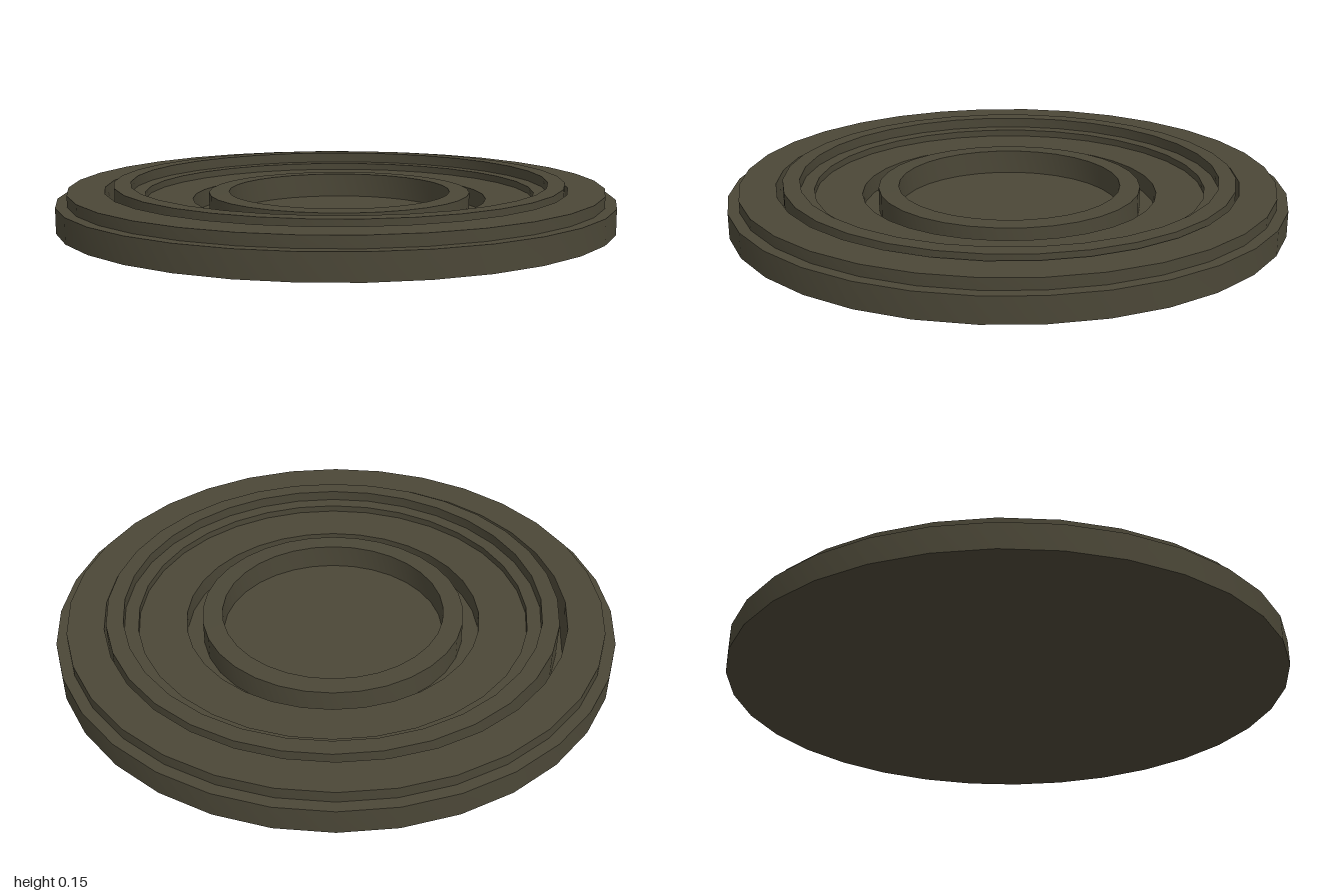
import * as THREE from 'three';
import { toCreasedNormals } from 'three/addons/utils/BufferGeometryUtils.js';

const SIDES = 32;

// Turned part from a [radius, height] profile, smooth around and sharp at the steps
function turned(name, profile, material, x = 0) {
  const points = profile.map(([r, y]) => new THREE.Vector2(r, y));
  const geometry = toCreasedNormals(new THREE.LatheGeometry(points, SIDES), Math.PI / 7);
  const mesh = new THREE.Mesh(geometry, material);
  mesh.name = name;
  mesh.position.x = x;
  return mesh;
}

export function createModel() {
  const group = new THREE.Group();
  group.name = 'steppedDisc';
  const olive = new THREE.MeshStandardMaterial({ color: 0x4b4737 });
  olive.name = 'darkOlive';

  const floor = 0.02;
  const offset = 0.012; // inner rings sit slightly off centre

  // Dish with a stepped rim and a recessed floor
  group.add(turned('baseDish', [
    [0, 0], [1, 0], [1, 0.09], [0.96, 0.09], [0.96, 0.13],
    [0.83, 0.13], [0.822, floor], [0, floor],
  ], olive));

  // Raised ring stepping down to a flat inner plate
  group.add(turned('steppedRing', [
    [0.53, floor], [0.81, floor], [0.81, 0.148], [0.75, 0.148], [0.75, 0.11],
    [0.7, 0.11], [0.7, 0.085], [0.53, 0.085], [0.53, floor],
  ], olive, offset));

  // Central collar around the well
  group.add(turned('centreCollar', [
    [0.4, floor], [0.472, floor], [0.472, 0.106], [0.4, 0.108], [0.4, floor],
  ], olive, offset));

  return group;
}
